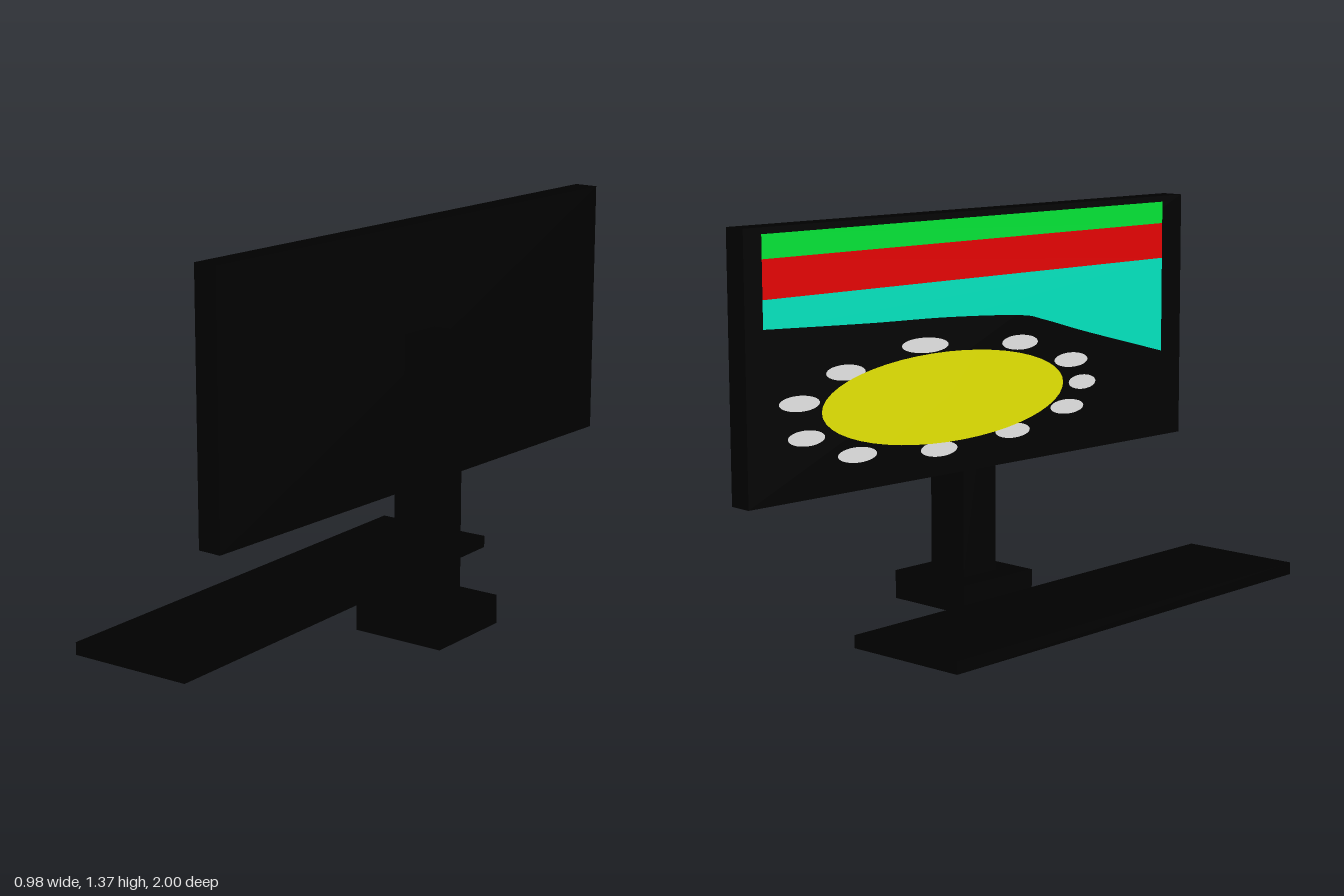
import * as THREE from 'three';

const paint = (name, color) => {
  const m = new THREE.MeshStandardMaterial({ color });
  m.name = name;
  return m;
};

export function createModel() {
  const black = paint('black', 0x000000);
  const green = paint('green', 0x00f43a);
  const red = paint('red', 0xf40000);
  const teal = paint('teal', 0x00f4cb);
  const yellow = paint('yellow', 0xf4f400);
  const white = paint('white', 0xf4f4f4);
  const model = new THREE.Group();
  model.name = 'desktopComputer';

  const add = (parent, name, geometry, material) => {
    const mesh = new THREE.Mesh(geometry, material);
    mesh.name = name;
    parent.add(mesh);
    return mesh;
  };
  // Box standing on y0, turned by deg about the vertical
  const block = (name, [w, h, d], [x, y0, z], deg) => {
    const mesh = add(model, name, new THREE.BoxGeometry(w, h, d), black);
    mesh.position.set(x, y0 + h / 2, z);
    mesh.rotation.y = THREE.MathUtils.degToRad(deg);
    return mesh;
  };

  // Stand, keyboard and monitor case
  block('standBase', [0.337, 0.1, 0.337], [0.304, 0, 0.034], -6);
  block('standPost', [0.158, 0.912, 0.158], [0.305, 0.1, 0.035], -6);
  block('keyboard', [0.45, 0.043, 1.735], [-0.195, 0.029, 0.075], -4.7);
  const L = 2.009, H = 0.883, T = 0.085;
  const monitor = block('monitor', [T, H, L], [0.229, 0.484, 0], -8.3);

  // Picture on the screen: u runs left to right, v from top to bottom, both 0..1
  const picture = new THREE.Group();
  picture.name = 'screenPicture';
  picture.rotation.y = -Math.PI / 2;
  picture.position.x = -T / 2;
  monitor.add(picture);
  const at = (u, v) => new THREE.Vector2((u - 0.5) * L, (0.5 - v) * H);
  const u0 = 0.035, u1 = 0.949;

  // Stripes across the top, the lowest one with a wavy lower edge
  const stripe = (name, material, v0, lower) => {
    const shape = new THREE.Shape([at(u0, v0), ...lower, at(u1, v0)]);
    add(picture, name, new THREE.ShapeGeometry(shape), material).position.z = 0.001;
  };
  stripe('greenStripe', green, 0.024, [at(u0, 0.112), at(u1, 0.112)]);
  stripe('redStripe', red, 0.112, [at(u0, 0.256), at(u1, 0.256)]);
  const wave = new THREE.SplineCurve([
    at(u0, 0.361), at(0.255, 0.383), at(0.421, 0.395), at(0.588, 0.421),
    at(0.65, 0.452), at(0.754, 0.522), at(u1, 0.643),
  ]);
  stripe('tealStripe', teal, 0.256, wave.getPoints(36));

  // Large oval ringed by small ones: centre u, v and half width
  const oval = (name, material, [u, v, rx], ry, tilt, lift) => {
    const mesh = add(picture, name, new THREE.CircleGeometry(1, 48), material);
    const p = at(u, v);
    mesh.position.set(p.x, p.y, lift);
    mesh.rotation.z = tilt;
    mesh.scale.set(rx, ry, 1);
  };
  oval('yellowOval', yellow, [0.421, 0.7, 0.548], 0.154, -0.02, 0.003);
  [
    [0.2, 0.553, 0.083], [0.371, 0.491, 0.104], [0.589, 0.528, 0.086], [0.714, 0.626, 0.083],
    [0.742, 0.722, 0.068], [0.704, 0.813, 0.083], [0.571, 0.873, 0.083], [0.4, 0.896, 0.083],
    [0.222, 0.865, 0.083], [0.117, 0.773, 0.076], [0.104, 0.643, 0.083],
  ].forEach((o, i) => oval('whiteOval' + (i + 1), white, o, 0.026, -0.06, 0.002));

  return model;
}
